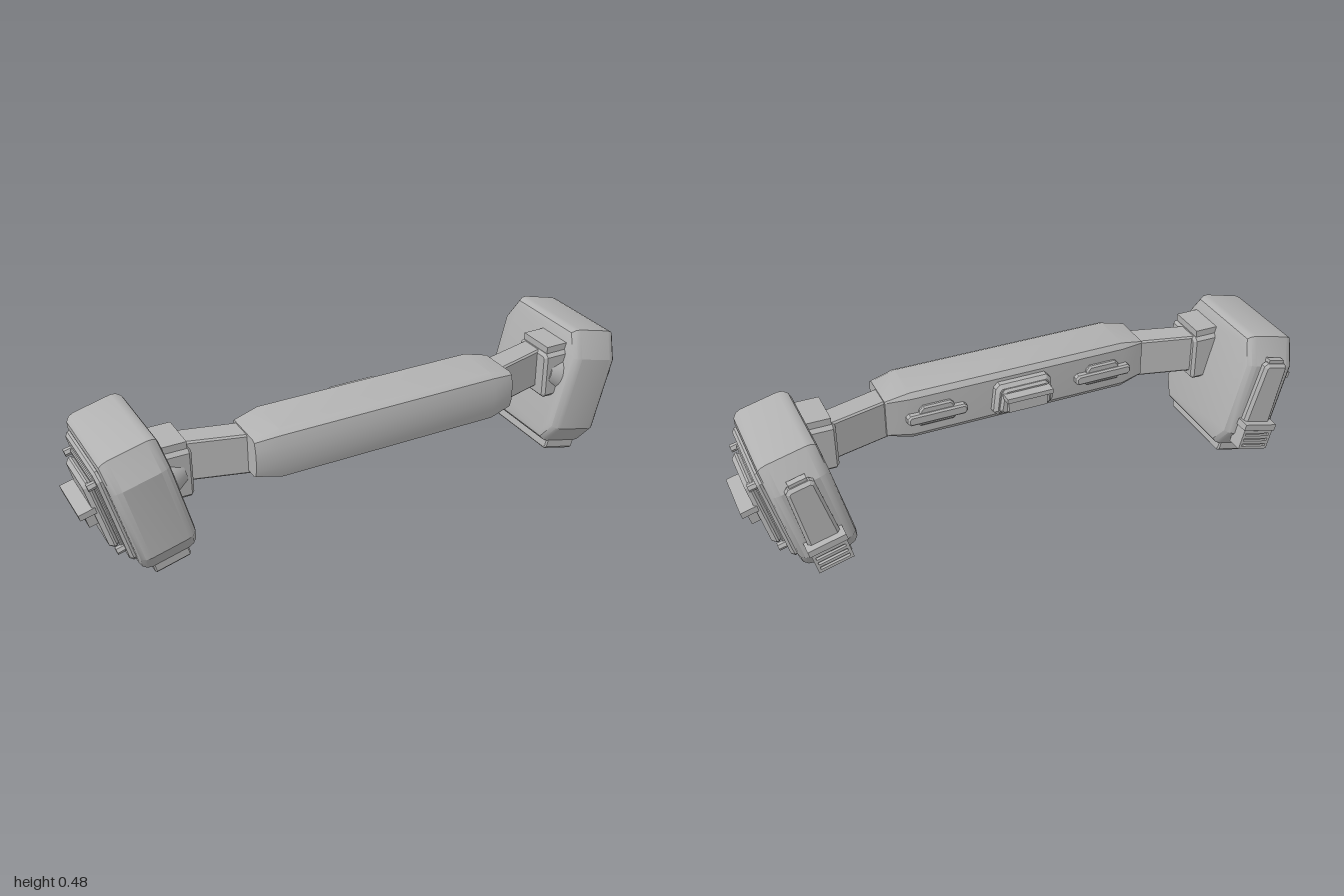
import * as THREE from 'three';
import { toCreasedNormals } from 'three/addons/utils/BufferGeometryUtils.js';

const TILT = 0.253; // lean of each side pod
const ZC = 0.0075;  // pod centre in depth

export function createModel() {
  const model = new THREE.Group();
  model.name = 'headset';
  const grey = new THREE.MeshStandardMaterial({ color: 0xb2b2b2 });
  grey.name = 'matte grey';

  // Corner-cut outline: bottom and top half widths, cut width and height
  const outline = (w0, w1, y0, y1, cx, cy = cx, cyTop = cy) => [
    [-w0 + cx, y0], [w0 - cx, y0], [w0, y0 + cy], [w1, y1 - cyTop],
    [w1 - cx, y1], [-w1 + cx, y1], [-w1, y1 - cyTop], [-w0, y0 + cy]];

  // Bevelled solid from an outline, running from 0 to depth along +z
  const slab = (pts, depth, bt = 0, bs = bt, segs = 1) => {
    const shape = new THREE.Shape(pts.map(p => new THREE.Vector2(p[0], p[1])));
    const g = new THREE.ExtrudeGeometry(shape, {
      depth: depth - 2 * bt, bevelEnabled: bt > 0, bevelThickness: bt,
      bevelSize: bs, bevelOffset: -bs, bevelSegments: segs });
    return g.translate(0, 0, bt);
  };
  const outward = (pts, o0, o1, ...bevel) =>
    slab(pts, o1 - o0, ...bevel).rotateY(Math.PI / 2).translate(o0, 0, ZC);
  const backward = (pts, x, z0, z1, ...bevel) =>
    slab(pts, z0 - z1, ...bevel).rotateY(Math.PI).translate(x, 0, z0);
  const box = (x0, x1, y0, y1, z0, z1) =>
    new THREE.BoxGeometry(x1 - x0, y1 - y0, z1 - z0)
      .translate((x0 + x1) / 2, (y0 + y1) / 2, (z0 + z1) / 2);

  const mirror = geo => {
    const g = geo.index ? geo.toNonIndexed() : geo.clone();
    g.scale(-1, 1, 1);
    const p = g.attributes.position;
    const a = new THREE.Vector3(), b = new THREE.Vector3();
    for (let i = 0; i < p.count; i += 3) {
      a.fromBufferAttribute(p, i + 1);
      b.fromBufferAttribute(p, i + 2);
      p.setXYZ(i + 1, b.x, b.y, b.z);
      p.setXYZ(i + 2, a.x, a.y, a.z);
    }
    return g;
  };
  const add = (parent, name, geo) => {
    const mesh = new THREE.Mesh(toCreasedNormals(geo, 0.5), grey);
    mesh.name = name;
    parent.add(mesh);
  };

  // Central headband, tapering at both ends
  const section = [[-0.06, 0.435], [-0.215, 0.435], [-0.24, 0.422], [-0.25, 0.385], [-0.252, 0.348],
    [-0.25, 0.31], [-0.24, 0.275], [-0.215, 0.262], [-0.06, 0.262], [-0.047, 0.28], [-0.047, 0.417]];
  add(model, 'headband', slab(section, 0.946, 0.085, 0.02).rotateY(Math.PI / 2).translate(-0.473, 0, 0));

  // Centre housing on the back of the headband
  const centre = new THREE.Group();
  centre.name = 'centreHousing';
  model.add(centre);
  add(centre, 'housingBase', backward(outline(0.11, 0.1, 0.29, 0.405, 0.015), 0, 0.06, 0.015, 0.012));
  add(centre, 'housingFace', backward(outline(0.095, 0.085, 0.303, 0.395, 0.012), 0, 0.02, 0.0, 0.008));
  add(centre, 'housingHood', box(-0.083, 0.083, 0.365, 0.382, -0.035, 0.01));
  add(centre, 'housingLip', box(-0.07, 0.07, 0.315, 0.367, -0.015, 0.01));

  for (const side of [1, -1]) {
    const half = new THREE.Group();
    half.name = side > 0 ? 'leftSide' : 'rightSide';
    model.add(half);
    const put = (name, geo) => add(half, name, side > 0 ? geo : mirror(geo));
    const pod = (name, geo) => put(name, geo.rotateZ(-TILT));

    // Clips on the back of the headband
    put('clipBar', backward(outline(0.105, 0.105, 0.325, 0.362, 0.01), 0.305, 0.06, 0.025, 0.006));
    put('clipTab', backward(outline(0.07, 0.06, 0.312, 0.385, 0.012), 0.305, 0.06, 0.034, 0.006));

    // Arm and the block that joins it to the pod
    const arm = [[0.44, 0.085], [0.7, 0.02], [0.7, 0.107], [0.44, 0.178]];
    put('arm', slab(arm, 0.14, 0.006).rotateX(Math.PI / 2).translate(0, 0.41, 0));
    const joint = outline(0.08, 0.08, 0.243, 0.412, 0.012);
    put('jointBlock', slab(joint, 0.125, 0.01).rotateY(Math.PI / 2).translate(0.653, 0, 0.09));
    put('jointCap', box(0.665, 0.755, 0.4, 0.436, 0.022, 0.158));

    // Pod body and its foot
    pod('podBody', outward(outline(0.214, 0.214, 0.235, 0.663, 0.05, 0.07, 0.09), 0.613, 0.81, 0.035, 0.03, 3));
    pod('podFoot', outward(outline(0.165, 0.165, 0.2, 0.26, 0.01), 0.65, 0.775, 0.005));
    pod('pivotDisc', new THREE.CylinderGeometry(0.05, 0.067, 0.045, 24)
      .rotateZ(Math.PI / 2).translate(0.595, 0.494, 0.125));

    // Stacked plates on the outer face
    pod('outerPanel', outward(outline(0.16, 0.16, 0.272, 0.628, 0.025), 0.8, 0.828, 0.01));
    pod('backingPlate', outward(outline(0.125, 0.112, 0.312, 0.588, 0.012), 0.82, 0.836, 0.004));
    pod('coverPlate', outward(outline(0.111, 0.096, 0.322, 0.574, 0.012), 0.83, 0.865, 0.014, 0.012));
    pod('handleHood', box(0.85, 0.912, 0.466, 0.487, ZC - 0.097, ZC + 0.097));
    const grip = new THREE.Shape([[-0.083, 0.42], [0.083, 0.42], [0.083, 0.468], [-0.083, 0.468]]
      .map(p => new THREE.Vector2(...p)));
    grip.holes.push(new THREE.Path([[-0.068, 0.432], [-0.068, 0.46], [0.068, 0.46], [0.068, 0.432]]
      .map(p => new THREE.Vector2(...p))));
    pod('handleFrame', new THREE.ExtrudeGeometry(grip, { depth: 0.035, bevelEnabled: false })
      .rotateY(Math.PI / 2).translate(0.86, 0, ZC));

    // Hex bolts at the plate corners
    for (const [u, w] of [[0.575, 0.114], [0.325, 0.125]])
      for (const s of [-1, 1])
        pod('bolt', new THREE.CylinderGeometry(0.013, 0.013, 0.04, 6)
          .rotateZ(-Math.PI / 2).translate(0.835, u, ZC + s * w));

    // Back plate and louvred vent
    pod('backPlate', backward(outline(0.055, 0.047, 0.33, 0.592, 0.012), 0.715, -0.195, -0.232, 0.01));
    pod('backPlateTop', box(0.685, 0.745, 0.57, 0.603, -0.218, -0.195));
    pod('ventBox', box(0.655, 0.775, 0.268, 0.36, -0.242, -0.195));
    pod('ventTop', box(0.65, 0.78, 0.345, 0.368, -0.256, -0.2));
    for (const o of [0.655, 0.765])
      pod('ventSide', box(o, o + 0.01, 0.268, 0.35, -0.252, -0.235));
    for (let i = 0; i < 4; i++)
      pod('ventSlat', box(0.66, 0.77, 0.268 + i * 0.021, 0.279 + i * 0.021, -0.252, -0.235));
  }
  return model;
}
